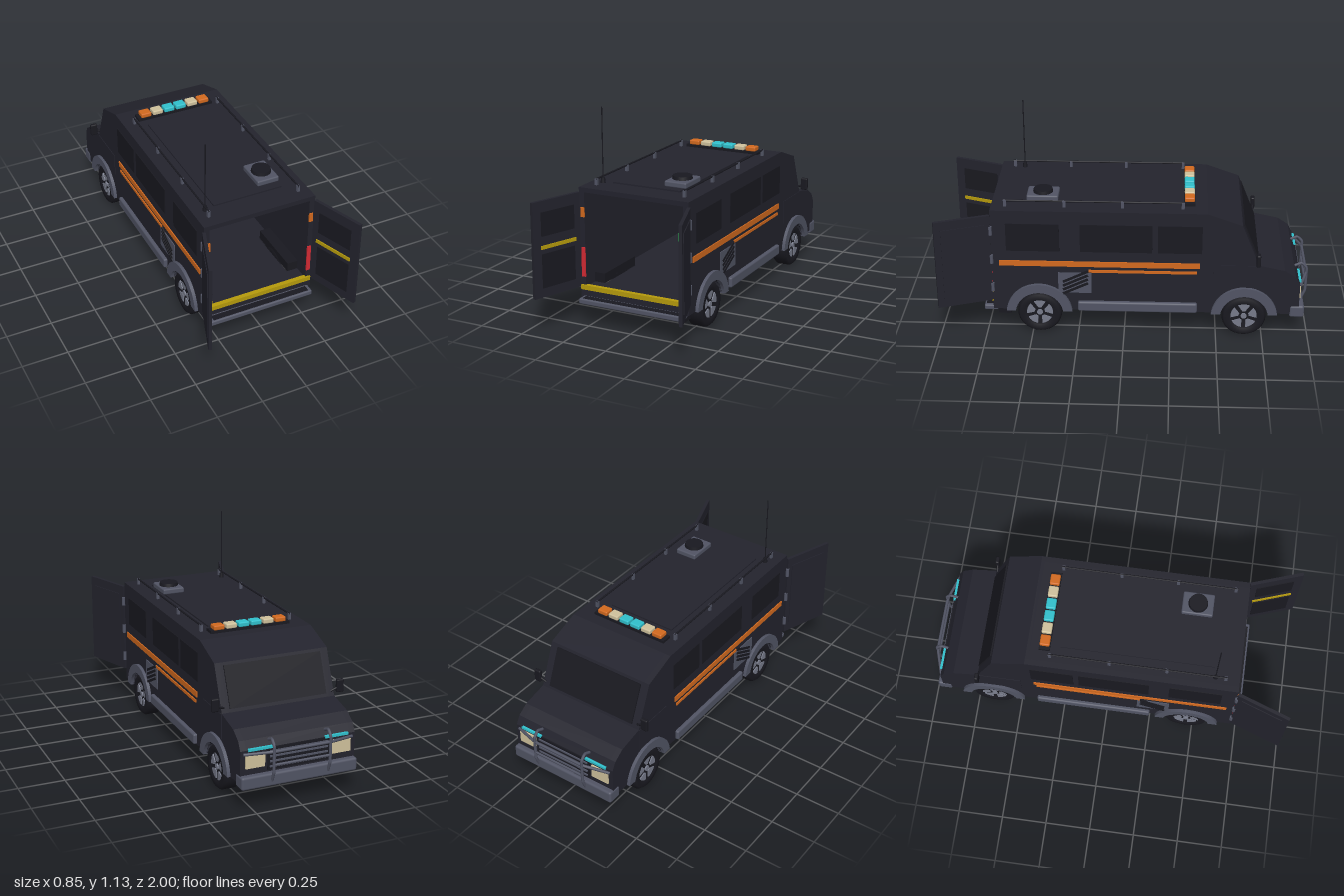
import * as THREE from 'three';
import { RoundedBoxGeometry } from 'three/addons/geometries/RoundedBoxGeometry.js';

export function createModel() {
  const root = new THREE.Group();
  root.name = 'van';
  const mat = (name, color) => {
    const m = new THREE.MeshStandardMaterial({ color });
    m.name = name;
    return m;
  };
  const body = mat('bodyNavy', 0x23232d), black = mat('trimBlack', 0x191920), grey = mat('trimGrey', 0x515464);
  const silver = mat('wheelGrey', 0x777b8a), orange = mat('orange', 0xd2691e), cream = mat('cream', 0xcfc19c);
  const cyan = mat('cyan', 0x30c0cc), green = mat('green', 0x2cc255), red = mat('red', 0xd42a34), yellow = mat('yellow', 0xb59a0c);

  const add = (name, geo, m, parent = root) => {
    const mesh = new THREE.Mesh(geo, m);
    mesh.name = name;
    parent.add(mesh);
    return mesh;
  };
  // box given by its ranges on each axis
  const span = (name, m, [x0, x1], [y0, y1], [z0, z1], parent = root, r = 0) => {
    const size = [Math.abs(x1 - x0), Math.abs(y1 - y0), Math.abs(z1 - z0)];
    const geo = r ? new RoundedBoxGeometry(...size, 2, r) : new THREE.BoxGeometry(...size);
    const mesh = add(name, geo, m, parent);
    mesh.position.set((x0 + x1) / 2, (y0 + y1) / 2, (z0 + z1) / 2);
    return mesh;
  };
  // (z, y) shape extruded across x
  const across = (name, m, shape, x0, x1, parent = root) => {
    const a = Math.min(x0, x1), b = Math.max(x0, x1);
    const geo = new THREE.ExtrudeGeometry(shape, { depth: b - a, bevelEnabled: false, curveSegments: 20 });
    geo.rotateY(-Math.PI / 2).translate(b, 0, 0);
    return add(name, geo, m, parent);
  };
  const tube = (name, m, pts, r, parent = root) => {
    const path = new THREE.CurvePath();
    const v = pts.map(p => new THREE.Vector3(...p));
    for (let i = 1; i < v.length; i++) path.add(new THREE.LineCurve3(v[i - 1], v[i]));
    return add(name, new THREE.TubeGeometry(path, (v.length - 1) * 6, r, 8), m, parent);
  };
  const axles = [-0.65, 0.46];
  const nose = [[-0.44, 0.735], [-0.625, 0.67], [-0.72, 0.435], [-0.86, 0.405], [-0.92, 0.365], [-0.945, 0.32]];

  // side wall outline with wheel arches
  const wall = new THREE.Shape();
  wall.moveTo(0.71, 0.14).lineTo(0.71, 0.735);
  nose.forEach(p => wall.lineTo(...p));
  wall.lineTo(-0.945, 0.14);
  const a = Math.asin(0.02 / 0.13);
  axles.forEach(z => wall.absarc(z, 0.12, 0.13, Math.PI - a, a, true));
  wall.closePath();

  // solid cab, fascia, floor and roof around the open cargo bay
  const cab = new THREE.Shape();
  cab.moveTo(-0.42, 0.28).lineTo(-0.42, 0.735);
  nose.forEach(p => cab.lineTo(...p));
  cab.lineTo(-0.945, 0.28).closePath();
  across('cab', body, cab, -0.285, 0.285);
  span('cabBase', body, [-0.21, 0.21], [0.1, 0.28], [-0.9, -0.42]);
  span('fascia', body, [-0.285, 0.285], [0.14, 0.28], [-0.945, -0.82]);
  span('roof', body, [-0.285, 0.285], [0.71, 0.735], [-0.43, 0.71]);
  span('floor', body, [-0.22, 0.22], [0.14, 0.2], [-0.43, 0.71]);
  span('roofPanel', body, [-0.195, 0.195], [0.735, 0.743], [-0.26, 0.57]);
  span('chassis', black, [-0.215, 0.215], [0.09, 0.14], [-0.86, 0.615]);
  span('underLight', cyan, [-0.195, 0.195], [0.08, 0.089], [-0.74, 0.54]);
  span('ceilingLight', green, [-0.195, 0.195], [0.696, 0.704], [-0.2, 0.5]);
  span('rearSill', body, [-0.315, 0.315], [0.14, 0.185], [0.69, 0.712]);
  span('sillEdge', yellow, [-0.31, 0.31], [0.185, 0.21], [0.695, 0.72]);
  span('rearStep', grey, [-0.3, 0.3], [0.12, 0.15], [0.69, 0.765], root, 0.008);
  span('rearStepTread', black, [-0.28, 0.28], [0.147, 0.152], [0.72, 0.755]);
  span('rearCrossMember', black, [-0.28, 0.28], [0.09, 0.14], [0.62, 0.69]);

  // crates with pale straps, at the front of the cargo bay
  for (const [x, w] of [[-0.145, 0.13], [0.015, 0.13], [0.17, 0.12]]) {
    span('crate', green, [x - w / 2, x + w / 2], [0.2, 0.25], [-0.3, -0.18]);
    span('crateStrap', cream, [x - 0.015, x + 0.015], [0.2, 0.252], [-0.302, -0.177]);
  }

  // windscreen plate laid on the slope
  const glass = span('windscreen', black, [-0.27, 0.27], [-0.11, 0.11], [-0.004, 0.004]);
  glass.position.set(0, 0.555, -0.676);
  glass.rotation.x = Math.atan2(0.095, 0.235);

  // nose: grille, bumper and bull bar
  span('grille', black, [-0.17, 0.17], [0.2, 0.32], [-0.952, -0.944]);
  for (let i = 0; i < 4; i++) span('grilleSlat', grey, [-0.16, 0.16], [0.215 + i * 0.027, 0.224 + i * 0.027], [-0.958, -0.95]);
  span('frontBumper', grey, [-0.32, 0.32], [0.12, 0.19], [-0.975, -0.895], root, 0.012);
  tube('bullBarTop', grey, [[-0.3, 0.3, -0.945], [-0.155, 0.31, -0.99], [0.155, 0.31, -0.99], [0.3, 0.3, -0.945]], 0.008);
  tube('bullBarMiddle', grey, [[-0.155, 0.24, -0.99], [0.155, 0.24, -0.99]], 0.007);

  // light bar
  span('lightBarBase', black, [-0.225, 0.225], [0.735, 0.75], [-0.375, -0.315]);
  [orange, cream, cyan, cyan, cream, orange].forEach((m, i) => {
    const x = (i - 2.5) * 0.0705;
    span('beacon', m, [x - 0.03, x + 0.03], [0.748, 0.775], [-0.372, -0.318], root, 0.007);
  });

  // roof vent and aerial
  span('ventBase', grey, [0.08, 0.205], [0.74, 0.772], [0.355, 0.525], root, 0.008);
  add('ventCap', new THREE.CylinderGeometry(0.05, 0.054, 0.02, 24), black).position.set(0.142, 0.78, 0.44);
  add('aerialBase', new THREE.CylinderGeometry(0.01, 0.014, 0.03, 12), black).position.set(-0.248, 0.748, 0.58);
  add('aerial', new THREE.CylinderGeometry(0.003, 0.003, 0.39, 8), black).position.set(-0.248, 0.94, 0.58);

  // wheel parts
  const tyreProfile = [[0.07, -0.047], [0.108, -0.047], [0.12, -0.033], [0.12, 0.033], [0.108, 0.047], [0.076, 0.047], [0.073, 0.036], [0, 0.036]];
  const tyreGeo = new THREE.LatheGeometry(tyreProfile.map(p => new THREE.Vector2(...p)), 32);
  const gap = new THREE.Shape();
  gap.absarc(0, 0, 0.071, -0.46, 0.46, false);
  gap.absarc(0, 0, 0.028, 0.25, -0.25, true);
  const gapGeo = new THREE.ExtrudeGeometry(gap, { depth: 0.006, bevelEnabled: false, curveSegments: 6 });

  for (const s of [-1, 1]) {
    const side = new THREE.Group();
    side.name = s > 0 ? 'leftSide' : 'rightSide';
    root.add(side);
    const X = (p, q) => [s * p, s * q];
    across('sideWall', body, wall, s * 0.285, s * 0.316, side);

    // windows, door panel and stripes
    for (const z of [[0.345, 0.63], [-0.15, 0.235], [-0.415, -0.18]]) span('sideWindow', black, X(0.315, 0.32), [0.5, 0.66], z, side);
    span('cabDoorPanel', body, X(0.315, 0.319), [0.3, 0.432], [-0.72, -0.48], side);
    span('wideStripe', orange, X(0.315, 0.322), [0.41, 0.441], [-0.405, 0.67], side);
    span('thinStripe', orange, X(0.315, 0.322), [0.376, 0.391], [-0.39, 0.19], side);

    // air intake with slanted slats
    span('intake', grey, X(0.315, 0.321), [0.25, 0.372], [0.175, 0.355], side);
    for (let i = 0; i < 4; i++) {
      const slat = span('intakeSlat', black, X(0.32, 0.326), [-0.007, 0.007], [-0.075, 0.075], side);
      slat.position.set(s * 0.321, 0.278 + i * 0.024, 0.262);
      slat.rotation.x = 0.45;
    }
    span('runningBoard', grey, X(0.3, 0.336), [0.142, 0.2], [-0.395, 0.25], side, 0.01);

    // cargo floor edges and wheel boxes
    span('floorEdge', body, X(0.22, 0.286), [0.14, 0.2], [-0.43, 0.3], side);
    span('floorEnd', body, X(0.22, 0.286), [0.14, 0.2], [0.62, 0.71], side);
    span('wheelBox', black, X(0.225, 0.286), [0.2, 0.252], [0.3, 0.62], side);

    // wheels and arch flares
    for (const z of axles) {
      const wheel = new THREE.Group();
      wheel.name = 'wheel';
      wheel.position.set(s * 0.272, 0.12, z);
      wheel.rotation.y = s * Math.PI / 2;
      side.add(wheel);
      add('tyre', tyreGeo, black, wheel).rotation.x = Math.PI / 2;
      for (let i = 0; i < 5; i++) {
        const g = add('wheelInset', gapGeo, silver, wheel);
        g.position.z = 0.036;
        g.rotation.z = Math.PI / 2 + i * Math.PI * 0.4;
      }
      add('hubCap', new THREE.CylinderGeometry(0.016, 0.016, 0.012, 16), silver, wheel).position.z = 0.038;
      wheel.children[wheel.children.length - 1].rotation.x = Math.PI / 2;
      const flare = new THREE.Shape();
      flare.absarc(z, 0.12, 0.18, 0.1, Math.PI - 0.1, false);
      flare.absarc(z, 0.12, 0.13, Math.PI - 0.14, 0.14, true);
      across('archFlare', grey, flare, s * 0.29, s * 0.334, side);
    }

    // lamps
    span('tailLamp', red, X(0.284, 0.306), [0.255, 0.415], [0.709, 0.716], side);
    span('rearIndicator', orange, X(0.284, 0.306), [0.578, 0.63], [0.709, 0.716], side);
    span('headlamp', cream, X(0.185, 0.29), [0.225, 0.3], [-0.953, -0.944], side);
    span('dayLamp', cyan, X(0.145, 0.275), [0.315, 0.328], [-0.954, -0.94], side);

    // bull bar upright and mirror
    tube('bullBarUpright', grey, [[s * 0.155, 0.15, -0.97], [s * 0.155, 0.2, -0.99], [s * 0.155, 0.34, -0.992], [s * 0.155, 0.37, -0.965], [s * 0.155, 0.35, -0.92]], 0.008, side);
    tube('mirrorArm', black, [[s * 0.3, 0.46, -0.71], [s * 0.35, 0.48, -0.715]], 0.006, side);
    span('mirror', black, X(0.33, 0.37), [0.45, 0.52], [-0.725, -0.703], side, 0.007);

    // roof rail
    tube('roofRail', black, [[s * 0.255, 0.767, -0.32], [s * 0.255, 0.767, 0.645]], 0.005, side);
    for (const z of [-0.31, 0.01, 0.32, 0.635]) span('railPost', grey, X(0.248, 0.262), [0.733, 0.77], [z - 0.008, z + 0.008], side);

    // open rear door: outer panel, inner panels and reflective strip
    const door = new THREE.Group();
    door.name = 'rearDoor';
    door.position.set(s * 0.318, 0, 0.712);
    door.rotation.y = s * 0.34;
    side.add(door);
    span('doorLeaf', body, [-0.009, 0.009], [0.2, 0.71], [0, 0.3], door);
    span('doorOuterPanel', body, X(0.008, 0.013), [0.25, 0.66], [0.03, 0.265], door);
    span('doorUpperPanel', black, X(-0.013, -0.008), [0.525, 0.652], [0.04, 0.25], door);
    span('doorLowerPanel', black, X(-0.013, -0.008), [0.25, 0.432], [0.04, 0.25], door);
    span('doorStrip', yellow, X(-0.015, -0.008), [0.457, 0.476], [0.03, 0.255], door);
    for (const y of [0.28, 0.45, 0.62]) add('hinge', new THREE.CylinderGeometry(0.01, 0.01, 0.05, 10), grey, door).position.set(s * 0.006, y, 0);
  }
  return root;
}
